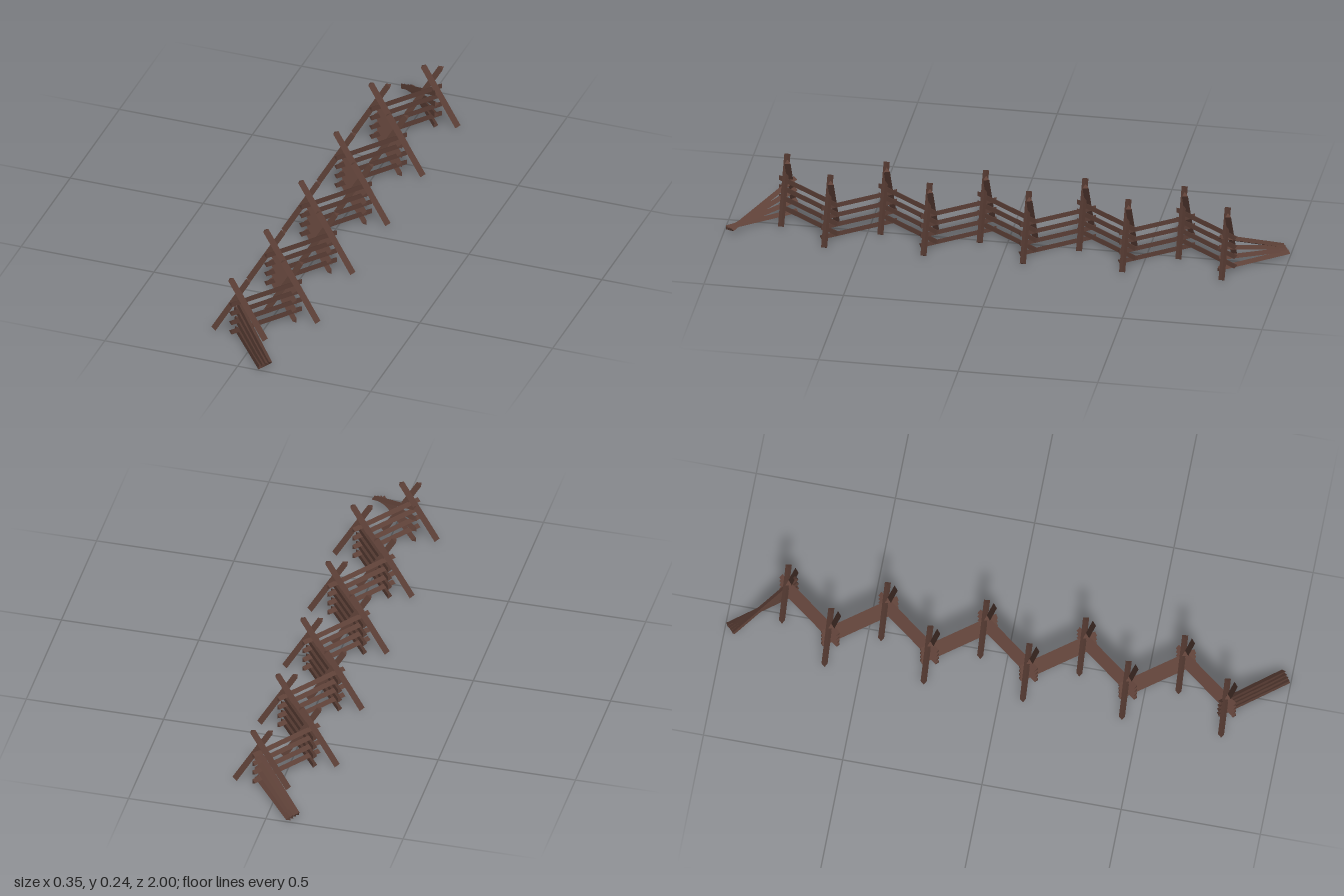
import * as THREE from 'three';

const V = (x, y, z) => new THREE.Vector3(x, y, z);

// Three-sided split log from a to b, its flat face turned towards `facing`
function splitLog(name, a, b, radius, facing, material) {
  const along = b.clone().sub(a);
  const length = along.length();
  along.normalize();
  const back = facing.clone().addScaledVector(along, -facing.dot(along)).normalize().negate();
  const side = along.clone().cross(back);
  const geometry = new THREE.CylinderGeometry(radius, radius, length, 3).toNonIndexed();
  geometry.computeVertexNormals();
  geometry.applyMatrix4(new THREE.Matrix4().makeBasis(side, along, back));
  const mid = a.clone().add(b).multiplyScalar(0.5);
  geometry.translate(mid.x, mid.y, mid.z);
  const mesh = new THREE.Mesh(geometry, material);
  mesh.name = name;
  return mesh;
}

export function createModel() {
  const wood = new THREE.MeshStandardMaterial({ color: 0x5d4037 });
  wood.name = 'brown wood';
  const fence = new THREE.Group();
  fence.name = 'zigzagFence';

  const count = 10, step = 0.178, swing = 0.066;
  const posts = Array.from({ length: count }, (_, i) =>
    V(i % 2 ? swing : -swing, 0, (count - 1) * step / 2 - i * step));
  const evenHeights = [0.031, 0.069, 0.107, 0.143];
  const oddHeights = [0.012, 0.05, 0.088, 0.126];
  const railRadius = 0.0105, poleRadius = 0.0125, overlap = 0.038;

  // Crossed poles at every corner
  posts.forEach((p, i) => {
    const pair = new THREE.Group();
    pair.name = `crossedPoles${i + 1}`;
    for (const s of [1, -1]) {
      const foot = V(p.x + s * 0.097, 0.009, p.z + s * 0.006);
      const tip = V(p.x - s * 0.033, 0.232, p.z + s * 0.006);
      const facing = s > 0 ? V(0.56, 0.32, 0.77) : V(-0.3, 0.17, 0.94);
      pair.add(splitLog(s > 0 ? 'frontPole' : 'backPole', foot, tip, poleRadius, facing, wood));
    }
    fence.add(pair);
  });

  // Stacked rails, heights alternating from one panel to the next
  for (let i = 0; i < count - 1; i++) {
    const panel = new THREE.Group();
    panel.name = `railPanel${i + 1}`;
    const dir = posts[i + 1].clone().sub(posts[i]).normalize();
    const facing = V(-dir.z, 0, dir.x);
    for (const y of i % 2 ? oddHeights : evenHeights) {
      const a = posts[i].clone().addScaledVector(dir, -overlap).setY(y);
      const b = posts[i + 1].clone().addScaledVector(dir, overlap).setY(y);
      panel.add(splitLog('rail', a, b, railRadius, facing, wood));
    }
    fence.add(panel);
  }

  // End rails fanning down from the last corners to the ground
  for (const s of [1, -1]) {
    const end = new THREE.Group();
    end.name = s > 0 ? 'frontEndRails' : 'backEndRails';
    const post = posts[s > 0 ? 0 : count - 1];
    oddHeights.forEach((y, k) => {
      const tip = V(s * (0.082 + k * 0.009), 0.012 + k * 0.003, s * (0.993 - k * 0.008));
      const dir = post.clone().setY(y).sub(tip).normalize();
      const start = post.clone().setY(y).addScaledVector(dir, overlap);
      end.add(splitLog('endRail', start, tip, railRadius, V(-0.8, 0.1, 0.6), wood));
    });
    fence.add(end);
  }
  return fence;
}
